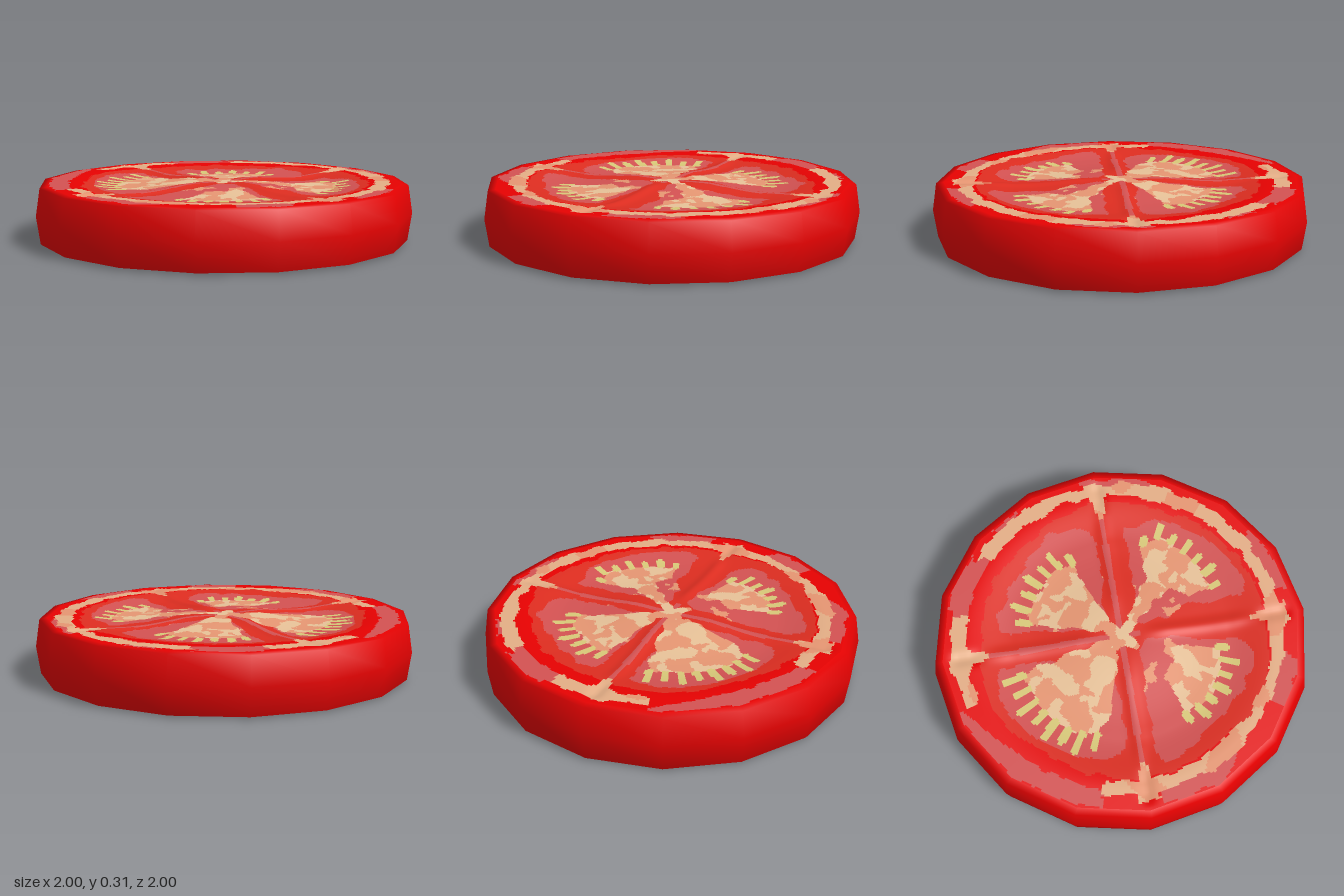
import * as THREE from 'three';

const MID = 0.155, SIDES = 16, FACE_R = 0.94, RINGS = 90, STEPS = 320;

const mat = (name, color) => new THREE.MeshStandardMaterial({ name, color });
const materials = {
  skin: mat('skin red', 0xf00202),
  flesh: mat('flesh red', 0xde2d20),
  gel: mat('gel pink', 0xd45252),
  pulp: mat('pulp salmon', 0xe69672),
  palePulp: mat('pale pulp', 0xe8c298),
  pith: mat('pith tan', 0xe4ae86),
  seeds: mat('seed yellow', 0xd8c878),
};

// The four chambers: gel outline, outer edge of the pulp, its inner outline, seed count and seed length (x, z)
const chambers = [
  { gel: [[-0.06, -0.12], [-0.3, -0.06], [-0.6, -0.08], [-0.63, -0.24], [-0.53, -0.45], [-0.34, -0.63], [-0.1, -0.66], [-0.07, -0.4]],
    edge: [[-0.5, -0.2], [-0.47, -0.32], [-0.38, -0.42], [-0.25, -0.5], [-0.13, -0.53]],
    inner: [[-0.06, -0.35], [-0.02, -0.06], [-0.12, -0.03], [-0.4, -0.12]], seeds: 8, length: 0.09 },
  { gel: [[0.07, -0.12], [0.1, -0.4], [0.13, -0.62], [0.24, -0.61], [0.46, -0.47], [0.64, -0.28], [0.63, -0.08], [0.3, -0.05]],
    edge: [[0.15, -0.47], [0.25, -0.45], [0.36, -0.38], [0.44, -0.29], [0.45, -0.19]],
    inner: [[0.3, -0.14], [0.1, -0.05], [0.03, -0.04], [0.08, -0.25]], seeds: 7, length: 0.07 },
  { gel: [[0.06, 0.1], [0.3, 0.12], [0.6, 0.13], [0.63, 0.3], [0.52, 0.5], [0.35, 0.64], [0.16, 0.69], [0.13, 0.4]],
    edge: [[0.51, 0.2], [0.54, 0.29], [0.45, 0.39], [0.35, 0.47], [0.21, 0.52]],
    inner: [[0.17, 0.4], [0.24, 0.3], [0.05, 0.08], [0.1, 0.05], [0.3, 0.17]], seeds: 7, length: 0.05 },
  { gel: [[-0.06, 0.12], [-0.08, 0.45], [-0.12, 0.63], [-0.24, 0.65], [-0.46, 0.5], [-0.66, 0.24], [-0.7, 0.11], [-0.35, 0.08]],
    edge: [[-0.13, 0.49], [-0.23, 0.5], [-0.34, 0.44], [-0.42, 0.35], [-0.46, 0.26]],
    inner: [[-0.28, 0.2], [-0.18, 0.25], [-0.09, 0.23]], seeds: 7, length: 0.06 },
].map(({ gel, edge, inner, seeds, length }) => {
  const v = (p) => new THREE.Vector3(p[0], 0, p[1]);
  const edgeCurve = new THREE.CatmullRomCurve3(edge.map(v));
  return {
    gel: new THREE.CatmullRomCurve3(gel.map(v), true).getPoints(48),
    pulp: [...edgeCurve.getSpacedPoints(20), ...inner.map(v)],
    // each seed is a short radial tooth across the pulp edge
    seeds: edgeCurve.getSpacedPoints(seeds - 1).map((p, i) => {
      const dir = p.clone().normalize(), out = length + (i % 2 ? 0.015 : -0.015);
      return new THREE.Line3(p.clone().addScaledVector(dir, 0.005), p.clone().addScaledVector(dir, out));
    }),
  };
});

function inside(x, z, poly) {
  let hit = false;
  for (let i = 0, j = poly.length - 1; i < poly.length; j = i++) {
    const a = poly[i], b = poly[j];
    if ((a.z > z) !== (b.z > z) && x < ((b.x - a.x) * (z - a.z)) / (b.z - a.z) + a.x) hit = !hit;
  }
  return hit;
}

// Soft blotchy pattern, about -1 to 1
const blotch = (x, z, f) =>
  (Math.sin(x * f + 1.7 * Math.sin(z * f * 0.8)) + Math.sin(z * f * 1.2 + 1.5 * Math.sin(x * f * 0.7 + 2))) / 2;

// Which part of the slice lies at a point of the cut face
const closest = new THREE.Vector3(), probe = new THREE.Vector3();
function regionAt(x, z) {
  const wob = 0.012 * blotch(x, z, 27) + 0.008 * blotch(z, x, 50);
  const r = Math.hypot(x, z), rw = r + wob;
  const angle = Math.atan2(z, x), deg = THREE.MathUtils.radToDeg(angle) + wob * 150;
  const spoke = Math.min(Math.abs(x), Math.abs(z));

  // pith band, flaring inward at each spoke
  const pithShade = blotch(x, z, 13) > 0.35 ? 'pulp' : 'pith';
  if (rw > 0.69 && rw < 0.89 && spoke < 0.012 + (rw - 0.69) * 0.25) return pithShade;
  const gapLeft = deg < -108 && deg > -166, gapRight = deg > -73 && deg < -50;
  const pithMid = 0.835 + 0.025 * Math.cos(angle + 0.6);
  const pithHalf = 0.038 + 0.01 * blotch(x, z, 6);
  if (!gapLeft && !gapRight && Math.abs(rw - pithMid) < pithHalf) return pithShade;

  // skin edge with pink stains, broad where the pith is missing
  if (gapLeft || gapRight) {
    if (rw > 0.82) return rw < 0.925 && blotch(x, z, 9) > -0.55 ? 'gel' : 'skin';
  } else if (rw > pithMid) {
    return rw < 0.925 && blotch(x, z, 8) > 0.2 ? 'gel' : 'skin';
  }
  if (rw > 0.765 - 0.03 * blotch(x, z, 6)) return 'skin';

  // core and chambers
  const mottle = blotch(x, z, 24) + 0.4 * blotch(z, x, 60);
  const pulpShade = mottle > 0.05 ? 'palePulp' : 'pulp';
  if (rw < 0.08 - 0.03 * Math.cos(4 * angle)) return pulpShade;
  probe.set(x, 0, z);
  for (const c of chambers) {
    for (const s of c.seeds) {
      s.closestPointToPoint(probe, true, closest);
      if (closest.distanceTo(probe) < 0.02) return 'seeds';
    }
    if (inside(x + wob, z - wob, c.pulp)) return pulpShade;
  }
  for (const c of chambers) {
    if (inside(x + wob, z - wob, c.gel)) return r < 0.36 && mottle > 0.55 ? 'pulp' : 'gel';
  }

  // walls between the chambers, with a pale seam along the spokes
  return spoke < 0.016 && z < 0.1 ? 'gel' : 'flesh';
}

// Half thickness: chambers dished inside the rim, a low ridge along each spoke and a notch at its rim end
const step = THREE.MathUtils.smoothstep;
function heightAt(x, z) {
  const r = Math.hypot(x, z), spoke = Math.min(Math.abs(x), Math.abs(z));
  const dish = 0.026 * step(r, 0.1, 0.5) * (1 - step(r, 0.56, 0.82));
  const across = Math.exp(-((spoke / 0.035) ** 2));
  const ridge = 0.011 * across * step(r, 0.08, 0.25) * (1 - step(r, 0.6, 0.75));
  const notch = 0.012 * across * step(r, 0.7, 0.8) * (1 - step(r, 0.85, 0.93));
  return 0.152 - dish + ridge - notch;
}

function facePoint(i, j) {
  const t = (j / STEPS) * Math.PI * 2, seg = (Math.PI * 2) / SIDES;
  // follow the polygonal outline of the skin
  const off = (t % seg) - seg / 2;
  const r = (FACE_R * i / RINGS) * Math.cos(seg / 2) / Math.cos(off);
  return [r * Math.cos(t), r * Math.sin(t)];
}

// One cut face; side is 1 for the top and -1 for the bottom
function cutFace(side) {
  const group = new THREE.Group();
  group.name = side > 0 ? 'topCutFace' : 'bottomCutFace';
  const parts = {};
  const push = (part, [x, z]) => {
    const e = 0.004, h = heightAt(x, z);
    const n = new THREE.Vector3(
      (heightAt(x - e, z) - heightAt(x + e, z)) / (2 * e), side,
      (heightAt(x, z - e) - heightAt(x, z + e)) / (2 * e)).normalize();
    part.position.push(x, MID + side * h, z);
    part.normal.push(n.x, n.y, n.z);
  };
  for (let i = 0; i < RINGS; i++) {
    for (let j = 0; j < STEPS; j++) {
      const a = facePoint(i, j), b = facePoint(i, j + 1), c = facePoint(i + 1, j + 1), d = facePoint(i + 1, j);
      const key = regionAt((a[0] + c[0]) / 2, (a[1] + c[1]) / 2);
      const part = (parts[key] ??= { position: [], normal: [] });
      const corners = i === 0 ? [a, c, d] : [a, b, c, a, c, d];
      if (side < 0) corners.reverse();
      corners.forEach((p) => push(part, p));
    }
  }
  for (const [key, data] of Object.entries(parts)) {
    const geo = new THREE.BufferGeometry();
    for (const attr of ['position', 'normal']) geo.setAttribute(attr, new THREE.Float32BufferAttribute(data[attr], 3));
    const mesh = new THREE.Mesh(geo, materials[key]);
    mesh.name = key;
    group.add(mesh);
  }
  return group;
}

export function createModel() {
  const model = new THREE.Group();
  model.name = 'tomatoSlice';

  // Skin wrapped around the slice
  const profile = [[FACE_R, 0.003], [0.978, 0.009], [1, 0.155], [0.978, 0.301], [FACE_R, 0.307]];
  const skin = new THREE.Mesh(
    new THREE.LatheGeometry(profile.map(([x, y]) => new THREE.Vector2(x, y)), SIDES), materials.skin);
  skin.name = 'skinBand';
  model.add(skin, cutFace(1), cutFace(-1));
  return model;
}
